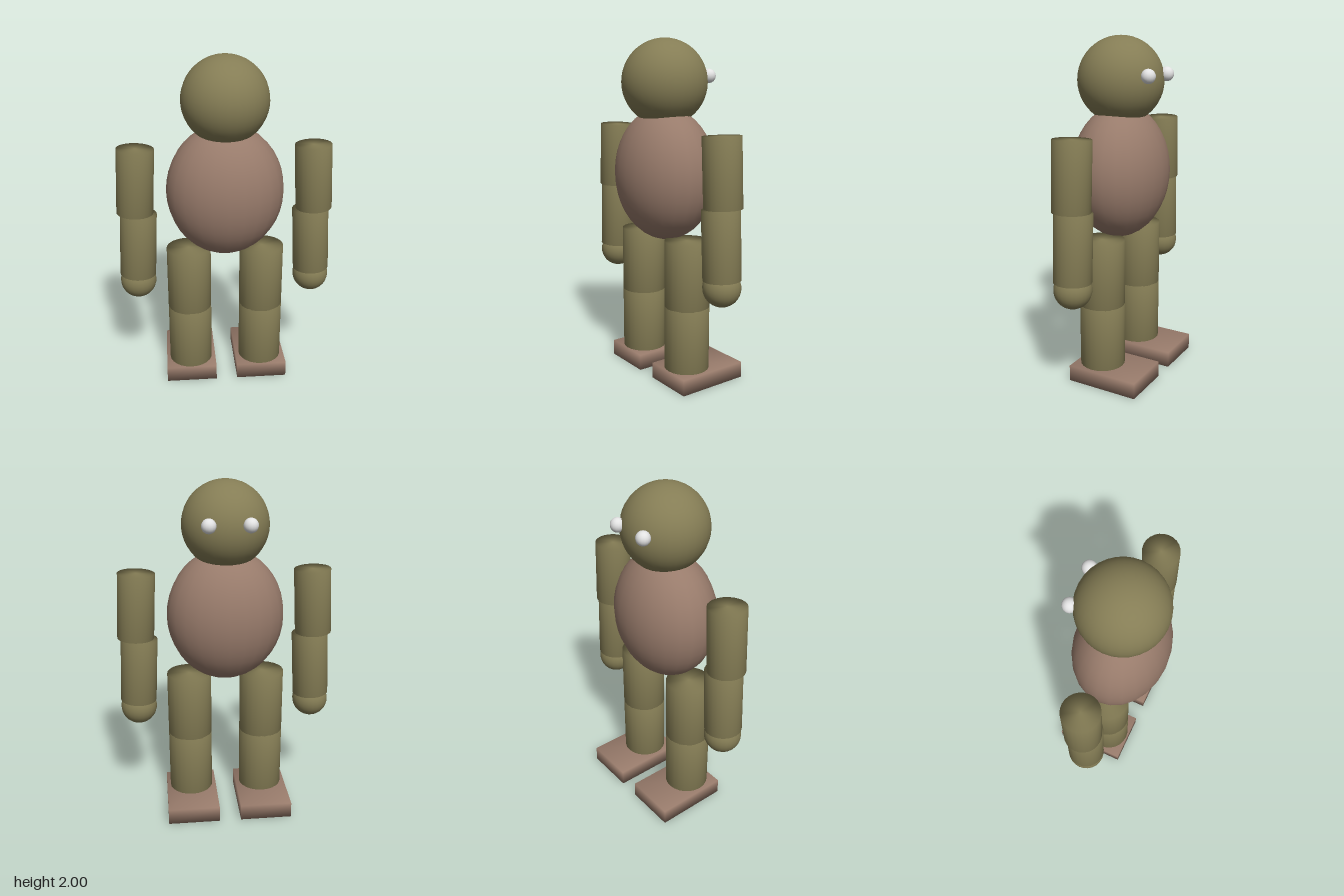
import * as THREE from 'three';
import { mergeVertices } from 'three/addons/utils/BufferGeometryUtils.js';

// Weld all corners so the normals blend softly across edges
function soften(geometry) {
  geometry.deleteAttribute('normal');
  geometry.deleteAttribute('uv');
  const welded = mergeVertices(geometry, 1e-4);
  welded.computeVertexNormals();
  return welded;
}

export function createModel() {
  const model = new THREE.Group();
  const olive = new THREE.MeshStandardMaterial({ name: 'olive', color: 0x857d55 });
  const brown = new THREE.MeshStandardMaterial({ name: 'dusty brown', color: 0x987b6b });
  const white = new THREE.MeshStandardMaterial({ name: 'eye white', color: 0xe2e2e2 });
  const Z = 0.012; // depth of the body axis

  function add(name, geometry, material, x, y, z) {
    const mesh = new THREE.Mesh(geometry, material);
    mesh.name = name;
    mesh.position.set(x, y, z);
    model.add(mesh);
    return mesh;
  }

  // Head and egg-shaped torso
  add('head', new THREE.SphereGeometry(0.248, 32, 24), olive, 0, 1.752, Z);
  add('torso', new THREE.SphereGeometry(1, 24, 20), brown, 0, 1.225, Z).scale.set(0.342, 0.39, 0.272);

  const armGeometry = soften(new THREE.CylinderGeometry(0.107, 0.107, 0.386, 24));
  const legGeometry = soften(new THREE.CylinderGeometry(0.132, 0.132, 0.39, 24));
  const handGeometry = new THREE.SphereGeometry(0.107, 24, 16);
  const eyeGeometry = new THREE.SphereGeometry(0.041, 16, 12);
  const footGeometry = soften(new THREE.BoxGeometry(0.308, 0.095, 0.437));

  for (const [side, s] of [['left', 1], ['right', -1]]) {
    // Arm segments lean slightly outward toward the hand
    add(side + 'UpperArm', armGeometry, olive, s * 0.517, 1.292, Z).rotation.z = s * 0.05;
    add(side + 'Forearm', armGeometry, olive, s * 0.517, 0.898, Z).rotation.z = s * 0.05;
    add(side + 'Hand', handGeometry, olive, s * 0.526, 0.661, Z);

    // Legs and flat feet, toes toward the eyes
    add(side + 'Thigh', legGeometry, olive, s * 0.219, 0.668, Z);
    add(side + 'Shin', legGeometry, olive, s * 0.219, 0.28, Z);
    add(side + 'Foot', footGeometry, brown, s * 0.219, 0.0475, -0.068);

    add(side + 'Eye', eyeGeometry, white, s * 0.112, 1.787, -0.222);
  }
  return model;
}
